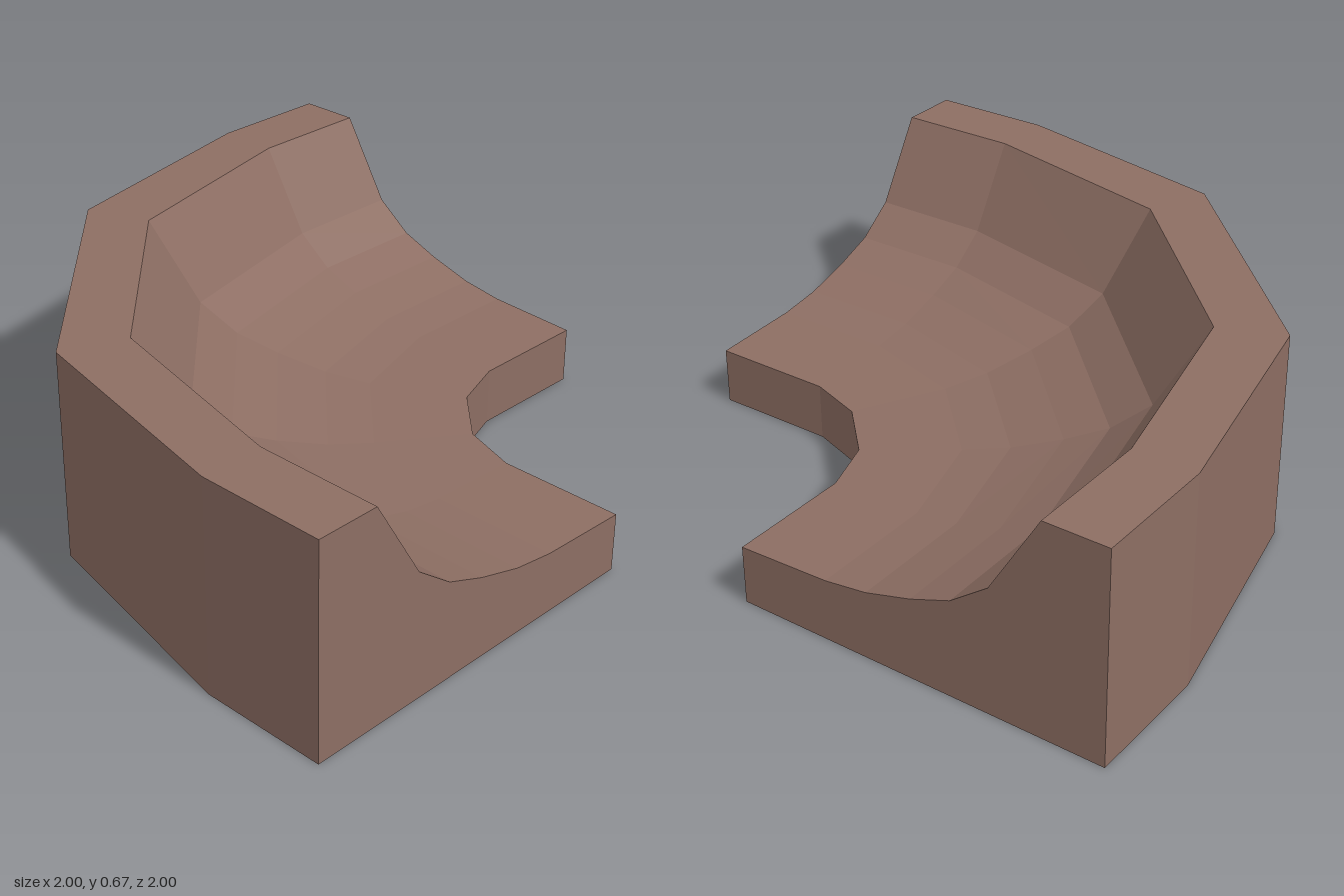
import * as THREE from 'three';

// Channel cross-section, outer foot to inner foot: radius from the bend centre, height,
// and direction factors of the first bend station
const PROFILE = [
  [1.6, 0, -0.475, 0.9],
  [1.6, 0.665, -0.475, 0.9],
  [1.4, 0.665, -0.486, 0.886],
  [1.24, 0.4, -0.484, 0.887],
  [1.12, 0.31, -0.487, 0.885],
  [0.99, 0.26, -0.488, 0.88],
  [0.84, 0.217, -0.49, 0.87],
  [0.7, 0.197, -0.49, 0.86],
  [0.4, 0.185, -0.45, 0.85],
  [0.4, 0, -0.45, 0.85],
];
const CENTRE = 0.6, END = 1;

// Six stations: straight end, start of bend, two bend stations, end of bend, straight end
function section(i) {
  return PROFILE.map(([r, y, fx, fz]) => {
    const s = i < 3 ? i : 5 - i;
    const x = s === 0 ? END : s === 1 ? CENTRE : CENTRE + r * fx;
    const z = s === 2 ? r * fz - CENTRE : r - CENTRE;
    // The second half mirrors the first across the diagonal
    return i < 3 ? new THREE.Vector3(x, y, z) : new THREE.Vector3(-z, y, -x);
  });
}

function bendGeometry() {
  const sections = [0, 1, 2, 3, 4, 5].map(section);
  const positions = [];
  const quad = (a, b, c, d) => {
    for (const p of [a, b, c, a, c, d]) positions.push(p.x, p.y, p.z);
  };
  const n = PROFILE.length;

  // Walls, trough and underside
  for (let i = 0; i < 5; i++) {
    const s = sections[i], t = sections[i + 1];
    for (let j = 0; j < n; j++) {
      const k = (j + 1) % n;
      quad(s[j], s[k], t[k], t[j]);
    }
  }

  // Flat ends, as upright strips from the profile down to the base
  const foot = (p) => new THREE.Vector3(p.x, 0, p.z);
  for (let j = 1; j < n - 2; j++) {
    const [a, b] = [sections[0][j], sections[0][j + 1]];
    quad(b, a, foot(a), foot(b));
    const [c, d] = [sections[5][j], sections[5][j + 1]];
    quad(c, d, foot(d), foot(c));
  }

  const geometry = new THREE.BufferGeometry();
  geometry.setAttribute('position', new THREE.Float32BufferAttribute(positions, 3));
  geometry.computeVertexNormals();
  return geometry;
}

export function createModel() {
  const group = new THREE.Group();
  group.name = 'curvedChannel';
  const material = new THREE.MeshStandardMaterial({ color: 0x8d6e63, flatShading: true });
  const bend = new THREE.Mesh(bendGeometry(), material);
  bend.name = 'channelBend';
  group.add(bend);
  return group;
}
